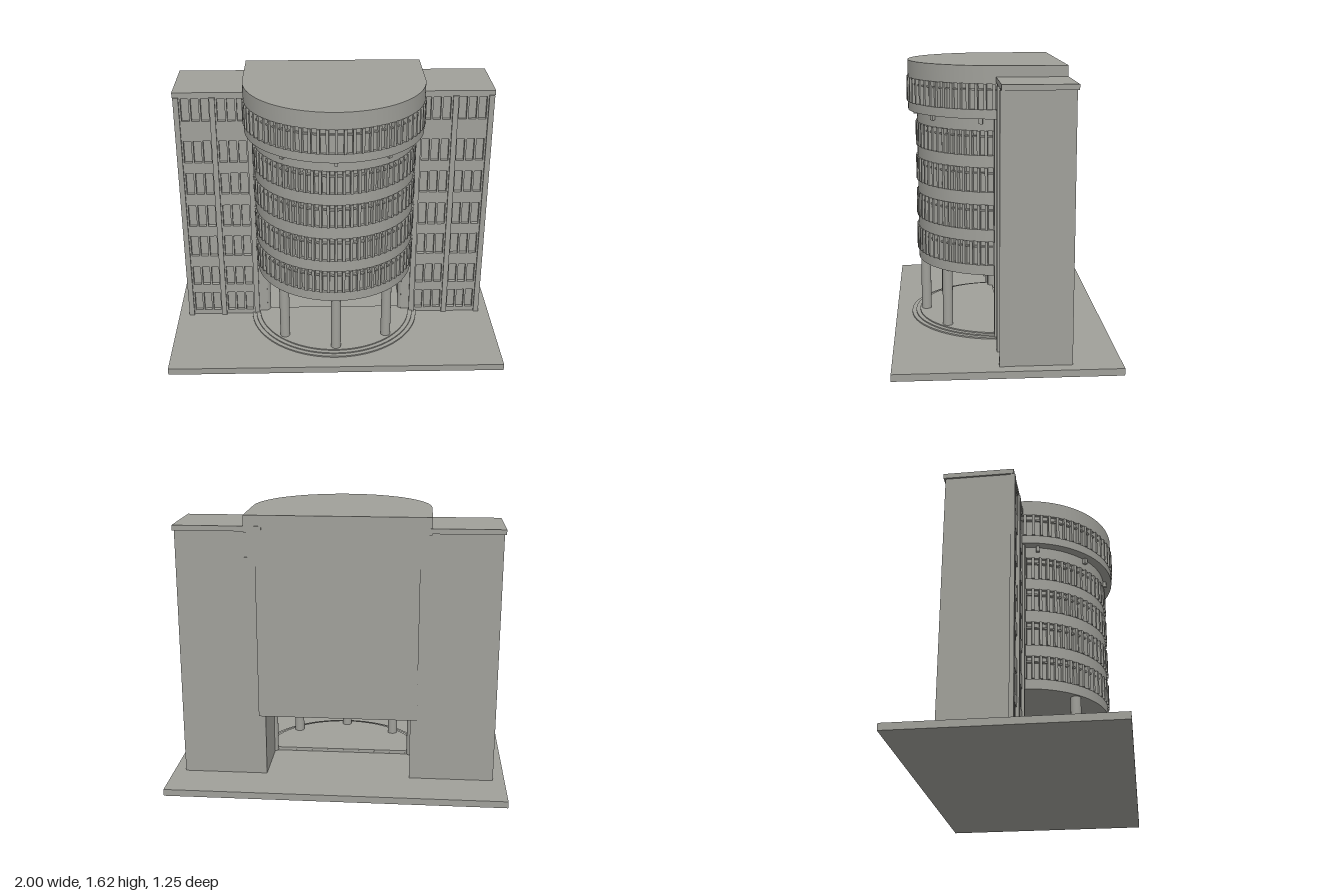
import * as THREE from 'three';
import { toCreasedNormals } from 'three/addons/utils/BufferGeometryUtils.js';

const concrete = new THREE.MeshStandardMaterial({ color: 0xa0a09a });
concrete.name = 'concrete grey';

function add(parent, name, geometry, x = 0, y = 0, z = 0) {
  const mesh = new THREE.Mesh(geometry, concrete);
  mesh.name = name;
  mesh.position.set(x, y, z);
  parent.add(mesh);
  return mesh;
}

// Box given by its limits on each axis
function block(parent, name, x0, x1, y0, y1, z0, z1) {
  return add(parent, name, new THREE.BoxGeometry(x1 - x0, y1 - y0, z1 - z0),
    (x0 + x1) / 2, (y0 + y1) / 2, (z0 + z1) / 2);
}

// Slab with a half-round front and a straight back at z = -back
function roundSlab(parent, name, r, y0, y1, back) {
  const s = new THREE.Shape();
  s.moveTo(-r, back);
  s.lineTo(-r, 0);
  s.absarc(0, 0, r, Math.PI, Math.PI * 2, false);
  s.lineTo(r, back);
  s.closePath();
  const g = new THREE.ExtrudeGeometry(s, { depth: y1 - y0, bevelEnabled: false, curveSegments: 64 });
  g.rotateX(-Math.PI / 2);
  return add(parent, name, toCreasedNormals(g, 0.5), 0, y0, 0);
}

// Curved row of windows: upright mullions and a transom around the half circle
function windowBand(parent, r, y0, y1) {
  const band = new THREE.Group();
  band.name = 'windowBand';
  parent.add(band);
  const count = 34, h = y1 - y0;
  const post = new THREE.BoxGeometry(0.016, h, 0.03);
  for (let i = 0; i <= count; i++) {
    const a = -Math.PI / 2 + (Math.PI * i) / count;
    const m = add(band, 'mullion', post, Math.sin(a) * (r - 0.007), y0 + h / 2, Math.cos(a) * (r - 0.007));
    m.rotation.y = a;
  }
  roundSlab(band, 'transom', r - 0.003, y0 + h * 0.74, y0 + h * 0.8, 0);
}

const ROWS = [[0.07, 0.2], [0.26, 0.39], [0.47, 0.61], [0.68, 0.825], [0.9, 1.04], [1.11, 1.25], [1.375, 1.515]];

// Side wing, built on +x and turned into its mirror twin by the sign
function buildWing(side) {
  const wing = new THREE.Group();
  wing.name = side > 0 ? 'leftWing' : 'rightWing';
  const span = (name, a, b, y0, y1, z0, z1) =>
    block(wing, name, Math.min(a * side, b * side), Math.max(a * side, b * side), y0, y1, z0, z1);
  span('wingBody', 0.43, 0.93, 0.04, 1.53, -0.352, 0.01);
  span('wingRoof', 0.43, 0.94, 1.525, 1.555, -0.362, 0.037);

  // Facade with window openings
  const facade = new THREE.Shape();
  facade.moveTo(0.43, 0.04);
  facade.lineTo(0.93, 0.04);
  facade.lineTo(0.93, 1.53);
  facade.lineTo(0.43, 1.53);
  facade.closePath();
  for (const [y0, y1] of ROWS) for (const start of [0.522, 0.732]) for (let i = 0; i < 3; i++) {
    const x0 = start + i * 0.058, x1 = x0 + 0.046;
    const hole = new THREE.Path();
    hole.moveTo(x0, y0);
    hole.lineTo(x0, y1);
    hole.lineTo(x1, y1);
    hole.lineTo(x1, y0);
    hole.closePath();
    facade.holes.push(hole);
  }
  const g = new THREE.ExtrudeGeometry(facade, { depth: 0.022, bevelEnabled: false });
  // Half turn keeps the winding; the openings run through, so either face works
  if (side < 0) g.rotateY(Math.PI).translate(0, 0, 0.022);
  add(wing, 'wingFacade', g, 0, 0, 0.01);

  for (const x of [0.498, 0.71, 0.92]) span('pilaster', x - 0.016, x + 0.016, 0.04, 1.525, 0.02, 0.045);
  return wing;
}

export function createModel() {
  const model = new THREE.Group();
  model.name = 'building';

  // Ground plate and the half-round steps
  block(model, 'basePlate', -1, 1, 0, 0.04, -0.625, 0.625);
  [0.53, 0.505, 0.48].forEach((r, i) => roundSlab(model, 'entranceStep', r, 0.04, 0.048 + i * 0.007, -0.0001));

  model.add(buildWing(1), buildWing(-1));

  // Central tower: recessed core, solid floor bands and window bands
  const tower = new THREE.Group();
  tower.name = 'centralTower';
  model.add(tower);
  roundSlab(tower, 'towerCore', 0.462, 0.412, 1.33, 0.35);
  block(tower, 'backWall', -0.47, 0.47, 0.412, 1.6, -0.36, -0.3);
  const bands = ROWS.slice(2, 6);
  let bottom = 0.41;
  for (const [y0, y1] of bands) {
    roundSlab(tower, 'floorBand', 0.48, bottom, y0, 0.35);
    windowBand(tower, 0.482, y0, y1);
    bottom = y1;
  }
  roundSlab(tower, 'floorBand', 0.48, bottom, 1.33, 0.35);

  // Overhanging top storey
  roundSlab(tower, 'topCore', 0.515, 1.33, 1.6, 0.355);
  roundSlab(tower, 'topSill', 0.532, 1.323, 1.375, 0.355);
  roundSlab(tower, 'roofBand', 0.532, 1.518, 1.617, 0.36);
  windowBand(tower, 0.532, 1.375, 1.518);

  // Brackets under the top storey
  for (const deg of [-76, -38, 0, 38, 76]) {
    const a = THREE.MathUtils.degToRad(deg);
    const b = add(tower, 'bracket', new THREE.BoxGeometry(0.02, 0.04, 0.04),
      Math.sin(a) * 0.48, 1.31, Math.cos(a) * 0.48);
    b.rotation.y = a;
  }

  // Round columns carrying the tower
  const column = new THREE.CylinderGeometry(0.03, 0.03, 0.37, 24);
  for (let i = -2; i <= 2; i++) {
    const a = (i * Math.PI) / 4;
    add(model, 'column', column, Math.sin(a) * 0.44, 0.23, Math.cos(a) * 0.44);
  }
  return model;
}
